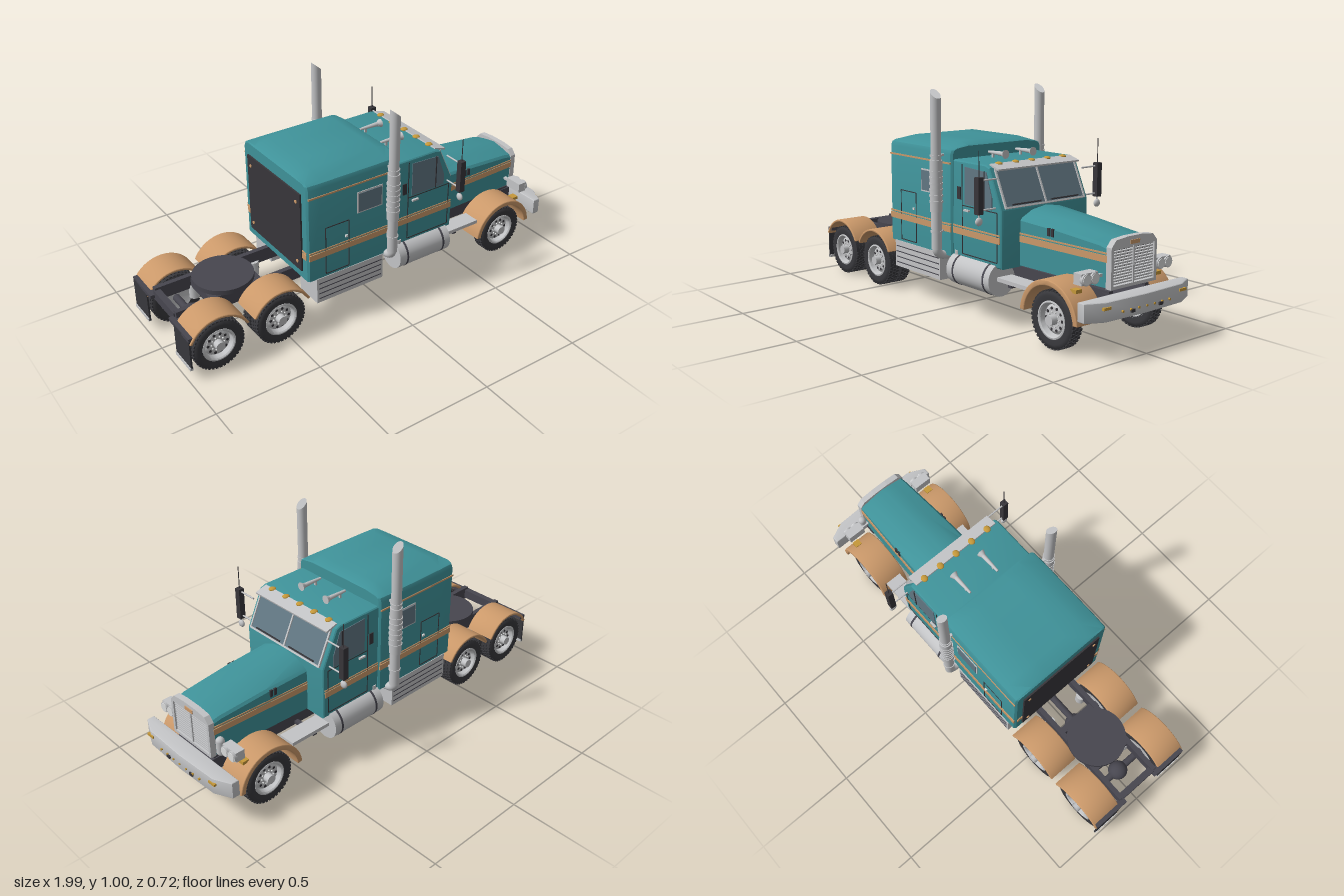
import * as THREE from 'three';
import { mergeGeometries, toCreasedNormals } from 'three/addons/utils/BufferGeometryUtils.js';

const mat = (name, color) => Object.assign(new THREE.MeshStandardMaterial({ color }), { name });
const teal = mat('teal paint', 0x3f9299), tan = mat('tan paint', 0xcb996a), silver = mat('silver', 0xc3c4c6);
const frame = mat('chassis grey', 0x47464f), rubber = mat('rubber', 0x38383c), glass = mat('glass', 0x627783);
const dark = mat('dark trim', 0x38363a), amber = mat('amber', 0xc5983a), lens = mat('lens', 0xdcdddd);

export function createModel() {
  const root = new THREE.Group();
  root.name = 'truck';
  const add = (name, geo, m, x = 0, y = 0, z = 0, parent = root) => {
    const mesh = new THREE.Mesh(geo, m);
    mesh.name = name;
    mesh.position.set(x, y, z);
    parent.add(mesh);
    return mesh;
  };
  // box given by its limits; pair() mirrors it to both sides
  const box = (name, m, x0, x1, y0, y1, z0, z1, parent = root) =>
    add(name, new THREE.BoxGeometry(x1 - x0, y1 - y0, z1 - z0), m, (x0 + x1) / 2, (y0 + y1) / 2, (z0 + z1) / 2, parent);
  const both = fn => [1, -1].forEach(fn);
  const pair = (name, m, x0, x1, y0, y1, z0, z1) =>
    both(s => box(name, m, x0, x1, y0, y1, Math.min(s * z0, s * z1), Math.max(s * z0, s * z1)));
  const rod = (name, m, axis, r, len, x, y, z, seg = 20, r2 = r) => {
    const g = new THREE.CylinderGeometry(r2, r, len, seg);
    if (axis === 'x') g.rotateZ(-Math.PI / 2);
    if (axis === 'z') g.rotateX(Math.PI / 2);
    return add(name, g, m, x, y, z);
  };
  const ball = (name, m, r, x, y, z) => add(name, new THREE.SphereGeometry(r, 20, 14), m, x, y, z);
  // side-profile polygon extruded across z, centred on z = 0
  const slab = (pts, width, bevel = 0) => {
    const shape = new THREE.Shape(pts.map(p => new THREE.Vector2(...p)));
    const g = new THREE.ExtrudeGeometry(shape, { depth: width - 2 * bevel, bevelEnabled: bevel > 0,
      bevelSize: bevel, bevelThickness: bevel, bevelOffset: -bevel, bevelSegments: 3 });
    return g.translate(0, 0, bevel - width / 2);
  };
  // loft through half-sections {x, pts: [z, y] from bottom to roof}, mirrored in z
  const loft = sections => {
    const rings = sections.map(({ x, pts }) =>
      [...pts, ...pts.slice().reverse().map(([z, y]) => [-z, y])].map(([z, y]) => [x, y, z]));
    const n = rings[0].length, v = [];
    const tri = (a, b, c) => v.push(...a, ...b, ...c);
    for (let i = 0; i + 1 < rings.length; i++) for (let j = 0; j < n; j++) {
      const k = (j + 1) % n, A = rings[i], B = rings[i + 1];
      tri(A[j], B[k], A[k]);
      tri(A[j], B[j], B[k]);
    }
    const last = rings[rings.length - 1];
    for (let j = 1; j < n - 1; j++) {
      tri(rings[0][0], rings[0][j], rings[0][j + 1]);
      tri(last[0], last[j + 1], last[j]);
    }
    const g = new THREE.BufferGeometry();
    g.setAttribute('position', new THREE.Float32BufferAttribute(v, 3));
    return toCreasedNormals(g, 0.45);
  };

  // sleeper with hipped roof
  const sleeperAt = (x, w, top) => ({ x, pts: [[w, 0.26], [w, 0.715], [w - 0.008, 0.733], [w - 0.024, 0.74], [0.17, top], [0.08, top]] });
  add('sleeper', loft([sleeperAt(-0.4, 0.253, 0.741), sleeperAt(-0.392, 0.263, 0.746), sleeperAt(-0.32, 0.265, 0.765),
    sleeperAt(0.02, 0.265, 0.765), sleeperAt(0.072, 0.263, 0.753), sleeperAt(0.08, 0.254, 0.748)]), teal);
  box('rearPanel', dark, -0.408, -0.4, 0.3, 0.685, -0.22, 0.22);
  for (const y of [0.34, 0.64]) both(s => rod('panelBolt', tan, 'x', 0.008, 0.006, -0.409, y, s * 0.19, 10));

  // cab
  add('cab', toCreasedNormals(slab([[0.07, 0.26], [0.408, 0.26], [0.408, 0.512], [0.328, 0.685], [0.3, 0.695], [0.07, 0.695]], 0.506, 0.012), 0.5), teal);
  const screen = new THREE.Group();
  screen.name = 'windshield';
  screen.position.set(0.369, 0.597, 0);
  screen.rotation.z = Math.atan2(0.08, 0.173);
  root.add(screen);
  box('windshieldGlass', glass, -0.002, 0.004, -0.083, 0.083, -0.225, 0.225, screen);
  for (const y of [-0.085, 0.085]) box('windshieldTrim', silver, 0, 0.009, y - 0.004, y + 0.004, -0.23, 0.23, screen);
  for (const z of [-0.227, 0, 0.227]) box('windshieldPost', silver, 0, 0.009, -0.085, 0.085, z - 0.004, z + 0.004, screen);
  both(s => box('wiper', dark, 0.004, 0.012, -0.077, -0.072, Math.min(s * 0.03, s * 0.19), Math.max(s * 0.03, s * 0.19), screen));
  const visor = box('sunVisor', silver, 0.305, 0.368, 0.682, 0.69, -0.233, 0.233);
  visor.rotation.z = -0.28;
  for (const z of [-0.185, -0.092, 0, 0.092, 0.185]) {
    const lamp = ball('roofMarker', amber, 0.016, 0.31, 0.696, z);
    lamp.scale.set(1.1, 0.5, 1);
  }
  both(s => {
    rod('airHorn', silver, 'x', 0.006, 0.1, 0.165, 0.718, s * 0.08, 16, 0.011);
    rod('hornBell', silver, 'x', 0.011, 0.02, 0.222, 0.718, s * 0.08, 20, 0.02);
    box('hornStand', silver, 0.14, 0.15, 0.69, 0.715, s * 0.08 - 0.005, s * 0.08 + 0.005);
  });

  // hood
  const hoodAt = (x, w, shoulder, top) => ({ x, pts: [[w, 0.265], [w, shoulder], [w * 0.93, shoulder + 0.012], [w * 0.55, top - 0.012], [0.006, top]] });
  add('hood', loft([hoodAt(0.4, 0.147, 0.46, 0.512), hoodAt(0.62, 0.14, 0.45, 0.495), hoodAt(0.86, 0.129, 0.43, 0.466), hoodAt(0.9, 0.127, 0.42, 0.456)]), teal);
  both(s => [0.575, 0.597].forEach(x => box('hoodVent', dark, x, x + 0.014, 0.422, 0.455, s * 0.142 - 0.004, s * 0.142 + 0.004)));

  // grille
  const half = [[0.13, 0.262], [0.13, 0.43], [0.105, 0.458], [0.04, 0.465]];
  const outline = [...half, ...half.slice().reverse().map(([z, y]) => [-z, y])].map(p => new THREE.Vector2(...p));
  const surround = new THREE.Shape(outline);
  surround.holes.push(new THREE.Path([[-0.116, 0.275], [-0.116, 0.425], [0.116, 0.425], [0.116, 0.275]].map(p => new THREE.Vector2(...p))));
  add('grilleSurround', new THREE.ExtrudeGeometry(surround, { depth: 0.028, bevelEnabled: false }).rotateY(Math.PI / 2), silver, 0.896);
  box('grilleBack', dark, 0.898, 0.904, 0.27, 0.43, -0.12, 0.12);
  for (let i = 0; i < 13; i++) box('grilleSlat', silver, 0.904, 0.917, 0.279 + i * 0.0115, 0.285 + i * 0.0115, -0.117, 0.117);
  box('grilleCentreBar', silver, 0.906, 0.922, 0.27, 0.43, -0.004, 0.004);
  box('grillePlate', tan, 0.922, 0.928, 0.433, 0.449, -0.026, 0.026);

  // bumper with swept ends
  const bumper = [[0.915, -0.3], [0.95, -0.3], [0.988, -0.22], [0.996, 0], [0.988, 0.22], [0.95, 0.3], [0.915, 0.3]];
  const bumperGeo = slab(bumper, 0.08, 0.006).rotateX(Math.PI / 2);
  add('bumper', toCreasedNormals(bumperGeo, 0.5), silver, 0, 0.206, 0);
  for (let i = -3; i <= 3; i++) rod('bumperMarker', amber, 'x', 0.005, 0.01, 0.994, 0.197, i * 0.045, 10);
  pair('bumperSocket', dark, 0.985, 1, 0.184, 0.197, 0.07, 0.091);
  pair('bumperLamp', amber, 0.982, 0.994, 0.216, 0.227, 0.197, 0.237);
  box('bumperMount', frame, 0.86, 0.93, 0.18, 0.24, -0.12, 0.12);

  // headlights and intake canister
  both(s => {
    box('headlightPod', silver, 0.845, 0.89, 0.294, 0.34, s * 0.212 - 0.044, s * 0.212 + 0.044);
    for (const z of [0.19, 0.235]) {
      rod('headlightRim', silver, 'x', 0.024, 0.016, 0.89, 0.316, s * z, 24);
      rod('headlightLens', lens, 'x', 0.02, 0.006, 0.898, 0.316, s * z, 24);
    }
    box('headlightArm', silver, 0.86, 0.875, 0.308, 0.32, s * 0.147 - 0.025, s * 0.147 + 0.025);
  });
  add('canister', new THREE.CapsuleGeometry(0.019, 0.055, 6, 18), silver, 0.885, 0.315, -0.148);

  // stripes, windows and doors on the sides
  for (const [y0, y1] of [[0.368, 0.396], [0.401, 0.408]]) {
    pair('sleeperStripe', tan, -0.395, 0.078, y0, y1, 0.262, 0.268);
    pair('cabStripe', tan, 0.08, 0.4, y0, y1, 0.25, 0.256);
    both(s => {
      const hoodStripe = box('hoodStripe', tan, 0.405, 0.9, y0, y1, s * 0.1375 - 0.003, s * 0.1375 + 0.003);
      hoodStripe.rotation.y = s * 0.039;
    });
    box('rearStripe', tan, -0.403, -0.397, y0, y1, -0.25, 0.25);
  }
  pair('roofStripe', tan, -0.395, 0.075, 0.672, 0.68, 0.262, 0.268);
  pair('sleeperWindowFrame', silver, -0.145, -0.01, 0.527, 0.632, 0.262, 0.268);
  pair('sleeperWindow', glass, -0.138, -0.017, 0.534, 0.625, 0.264, 0.271);
  const outlineDoor = (name, x0, x1, y0, y1, z) => {
    for (const x of [x0, x1]) pair(name, dark, x - 0.002, x + 0.002, y0, y1, z - 0.003, z + 0.002);
    for (const y of [y0, y1]) pair(name, dark, x0, x1, y - 0.002, y + 0.002, z - 0.003, z + 0.002);
  };
  outlineDoor('lockerSeam', -0.31, -0.188, 0.275, 0.51, 0.265);
  outlineDoor('doorSeam', 0.145, 0.382, 0.285, 0.5, 0.253);
  pair('doorSeam', dark, 0.143, 0.147, 0.5, 0.682, 0.25, 0.255);
  pair('lockerHandle', lens, -0.21, -0.198, 0.43, 0.44, 0.265, 0.273);
  pair('doorHandle', silver, 0.165, 0.2, 0.478, 0.486, 0.253, 0.264);
  pair('quarterWindow', dark, 0.112, 0.135, 0.525, 0.58, 0.25, 0.257);
  const pane = slab([[0.165, 0.508], [0.35, 0.508], [0.35, 0.56], [0.312, 0.665], [0.165, 0.672]], 0.006);
  both(s => add('doorWindow', pane, glass, 0, 0, s * 0.253));
  pair('windowBar', dark, 0.298, 0.303, 0.508, 0.667, 0.252, 0.259);

  // mirrors and aerials
  both(s => {
    const z = s * 0.344;
    box('mirror', dark, 0.36, 0.388, 0.505, 0.66, z - 0.014, z + 0.014);
    for (const y of [0.52, 0.645]) rod('mirrorArm', silver, 'z', 0.004, 0.1, 0.372, y, s * 0.295, 8);
    rod('mirrorStem', silver, 'y', 0.003, 0.05, 0.374, 0.49, z, 8);
    ball('spotMirror', silver, 0.018, 0.374, 0.474, z).scale.x = 0.6;
    rod('aerial', dark, 'y', 0.002, 0.12, 0.374, 0.71, z, 6);
  });

  // exhaust stacks with slanted tips
  const stack = new THREE.CylinderGeometry(0.0235, 0.0235, 0.71, 28, 1);
  const sp = stack.attributes.position;
  for (let i = 0; i < sp.count; i++) if (sp.getY(i) > 0) sp.setY(i, sp.getY(i) - 0.04 * (sp.getX(i) / 0.0235 + 1) / 2);
  both(s => {
    const x = 0.022, z = s * 0.304;
    add('exhaustStack', stack, silver, x, 0.645, z);
    rod('muffler', silver, 'y', 0.028, 0.23, x, 0.575, z, 28);
    for (let i = 0; i < 6; i++) rod('mufflerRing', silver, 'y', 0.031, 0.008, x, 0.505 + i * 0.027, z, 28);
    for (const y of [0.37, 0.71]) {
      rod('stackClamp', silver, 'y', 0.027, 0.008, x, y, z, 20);
      box('stackBracket', silver, x - 0.006, x + 0.006, y - 0.005, y + 0.005, s * 0.27 - 0.02, s * 0.27 + 0.02);
    }
    const bend = new THREE.CatmullRomCurve3([[0.31, 0.304], [0.28, 0.302], [0.262, 0.28], [0.258, 0.2]].map(([y, d]) => new THREE.Vector3(x, y, s * d)));
    add('exhaustElbow', new THREE.TubeGeometry(bend, 16, 0.02, 16), silver);
  });

  // step boxes, fuel tanks and running boards
  pair('toolBox', silver, -0.36, -0.003, 0.135, 0.262, 0.13, 0.268);
  for (let i = 0; i < 4; i++) pair('toolBoxRib', frame, -0.35, -0.012, 0.155 + i * 0.026, 0.159 + i * 0.026, 0.264, 0.27);
  both(s => {
    rod('fuelTank', silver, 'x', 0.073, 0.295, 0.228, 0.207, s * 0.222, 36);
    for (const x of [0.125, 0.335]) rod('tankStrap', frame, 'x', 0.0745, 0.01, x, 0.207, s * 0.222, 36);
    rod('tankCap', silver, 'y', 0.014, 0.02, 0.1, 0.282, s * 0.245, 14);
  });
  pair('runningBoard', silver, 0.375, 0.585, 0.205, 0.222, 0.165, 0.248);
  pair('boardBracket', frame, 0.44, 0.46, 0.19, 0.205, 0.1, 0.24);

  // chassis
  pair('frameRail', frame, -0.965, 0.9, 0.185, 0.25, 0.092, 0.115);
  for (const x of [-0.955, -0.78, -0.55, -0.3, 0, 0.3, 0.6]) box('crossMember', frame, x - 0.015, x + 0.015, 0.195, 0.24, -0.1, 0.1);
  rod('couplingPlate', frame, 'y', 0.138, 0.022, -0.68, 0.264, 0, 48);
  box('couplingBase', frame, -0.74, -0.62, 0.22, 0.255, -0.1, 0.1);
  rod('driveShaft', frame, 'x', 0.017, 1.1, 0.02, 0.15, 0, 14);
  box('engineBlock', frame, 0.4, 0.85, 0.19, 0.28, -0.085, 0.085);
  for (const x of [-0.848, -0.543, 0.73]) {
    rod('axle', frame, 'z', 0.017, 0.44, x, 0.123, 0, 16);
    if (x < 0) ball('differential', frame, 0.046, x, 0.126, 0);
    both(s => rod('airSpring', silver, 'y', 0.024, 0.07, x + 0.07, 0.165, s * 0.1, 16));
  }

  // wheels
  const profile = [[0.074, -0.026], [0.1, -0.031], [0.112, -0.029], [0.118, -0.024], [0.118, 0.024], [0.112, 0.029], [0.1, 0.031], [0.074, 0.026]];
  const tyre = toCreasedNormals(new THREE.LatheGeometry(profile.map(p => new THREE.Vector2(...p)), 48).rotateX(Math.PI / 2), 0.6);
  const lugs = [];
  for (let i = 0; i < 40; i++) for (const z of [-0.018, 0, 0.018])
    lugs.push(new THREE.BoxGeometry(0.011, 0.008, 0.016).translate(0, 0.118, z).rotateZ((i + (z ? 0 : 0.5)) * Math.PI / 20));
  const tread = mergeGeometries(lugs);
  const rimProfile = [[0, 0.012], [0.05, 0.012], [0.062, 0.004], [0.067, 0.026], [0.072, 0.031], [0.079, 0.029], [0.079, -0.027], [0.06, -0.02], [0, -0.02]].reverse();
  const rim = toCreasedNormals(new THREE.LatheGeometry(rimProfile.map(p => new THREE.Vector2(...p)), 40).rotateX(Math.PI / 2), 0.5);
  const wheel = (x, z, s, outer) => {
    const g = new THREE.Group();
    g.name = 'wheel';
    g.position.set(x, 0.123, s * z);
    if (s < 0) g.rotation.y = Math.PI;
    root.add(g);
    add('tyre', tyre, rubber, 0, 0, 0, g);
    add('tread', tread, rubber, 0, 0, 0, g);
    add('rim', rim, silver, 0, 0, 0, g);
    if (!outer) return;
    const disc = (name, m, r, len, px, py, pz, n) => add(name, new THREE.CylinderGeometry(r, r, len, n).rotateX(Math.PI / 2), m, px, py, pz, g);
    disc('hub', silver, 0.021, 0.034, 0, 0, 0.025, 20);
    for (let i = 0; i < 10; i++) {
      const a = i * Math.PI / 5, c = Math.cos(a), q = Math.sin(a);
      disc('rimHole', dark, 0.0065, 0.004, c * 0.046, q * 0.046, 0.0115, 12);
      disc('wheelNut', lens, 0.0035, 0.008, c * 0.031, q * 0.031, 0.015, 6);
    }
  };
  both(s => {
    wheel(0.73, 0.234, s, true);
    for (const x of [-0.848, -0.543]) [0.167, 0.234].forEach((z, i) => wheel(x, z, s, i === 1));
  });

  // fenders and mud flaps
  const arch = (r0, r1, a0, a1, width) => {
    const pts = [], rad = Math.PI / 180;
    for (let i = 0; i <= 24; i++) { const a = (a0 + (a1 - a0) * i / 24) * rad; pts.push([r1 * Math.cos(a), r1 * Math.sin(a)]); }
    for (let i = 24; i >= 0; i--) { const a = (a0 + (a1 - a0) * i / 24) * rad; pts.push([r0 * Math.cos(a), r0 * Math.sin(a)]); }
    return toCreasedNormals(slab(pts, width, 0.004), 0.6);
  };
  const frontArch = arch(0.143, 0.167, 5, 175, 0.145), rearArch = arch(0.143, 0.155, 26, 154, 0.152);
  both(s => {
    add('frontFender', frontArch, tan, 0.73, 0.123, s * 0.212);
    for (const x of [-0.848, -0.543]) add('rearFender', rearArch, tan, x, 0.126, s * 0.204);
    const lamp = box('fenderLamp', amber, 0.808, 0.84, 0.253, 0.268, s * 0.23 - 0.017, s * 0.23 + 0.017);
    lamp.position.x = 0.835;
  });
  pair('mudFlap', rubber, -0.99, -0.982, 0.06, 0.215, 0.135, 0.272);
  pair('flapStrip', silver, -0.994, -0.98, 0.058, 0.072, 0.135, 0.272);
  pair('flapHanger', frame, -0.99, -0.955, 0.205, 0.222, 0.09, 0.272);
  return root;
}
